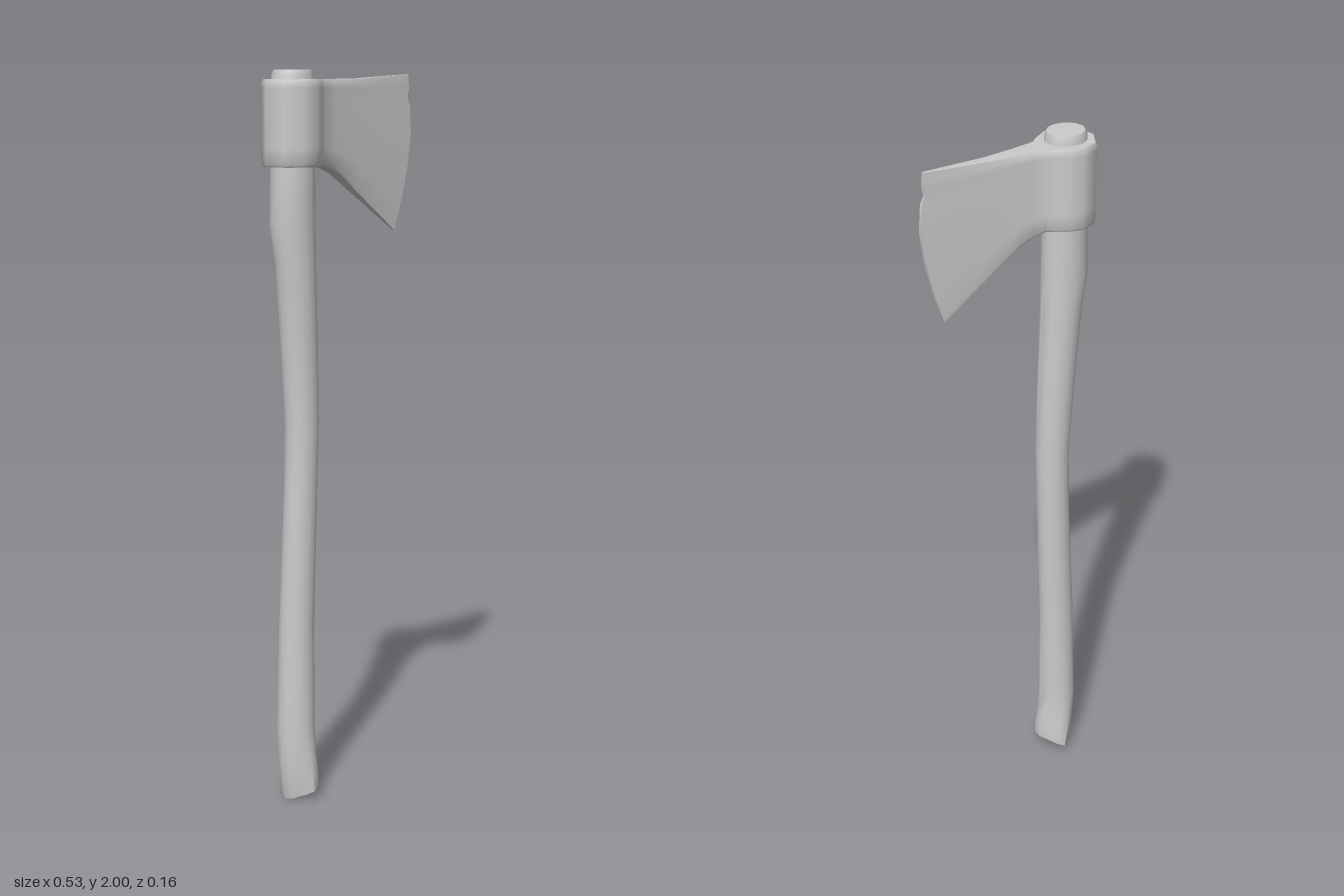
import * as THREE from 'three';
import { mergeVertices, toCreasedNormals } from 'three/addons/utils/BufferGeometryUtils.js';

// Skins closed loops stacked from top to bottom. Each loop starts at the back (-x),
// runs along +z to the front (+x) and returns along -z, so caps pair i with n - i.
function skin(loops, crease) {
  const n = loops[0].length;
  const index = [];
  for (let r = 0; r < loops.length - 1; r++) {
    for (let i = 0; i < n; i++) {
      const j = (i + 1) % n;
      const a = r * n + i, b = r * n + j, c = a + n, d = b + n;
      index.push(a, c, b, b, c, d);
    }
  }
  const cap = (base, up) => {
    const tri = (a, b, c) => index.push(base + a, base + (up ? b : c), base + (up ? c : b));
    tri(0, 1, n - 1);
    for (let i = 1; i < (n - 1) / 2; i++) {
      tri(i, i + 1, n - i - 1);
      tri(i, n - i - 1, n - i);
    }
  };
  cap(0, true);
  cap((loops.length - 1) * n, false);
  const geo = new THREE.BufferGeometry();
  geo.setAttribute('position', new THREE.Float32BufferAttribute(loops.flat(2), 3));
  geo.setIndex(index);
  return toCreasedNormals(mergeVertices(geo), crease);
}

// Piecewise linear lookup in [[key, value], ...]
function lookup(table, t) {
  for (let i = 1; i < table.length; i++) {
    const [a, va] = table[i - 1], [b, vb] = table[i];
    if (t <= b) return va + ((vb - va) * (t - a)) / (b - a);
  }
  return table[table.length - 1][1];
}

// Handle: oval sections [y, xBack, xFront, halfDepth, zCentre, slope, lobes]
function handleGeometry() {
  const sections = [
    [2.0, -0.235, -0.13, 0.047, 0, 0, 0],
    [1.985, -0.241, -0.125, 0.052, 0, 0, 0],
    [1.75, -0.246, -0.12, 0.056, 0, 0, 0],
    [1.6, -0.253, -0.117, 0.055, 0, 0, 0],
    [1.5, -0.235, -0.117, 0.053, 0, 0, 0],
    [1.28, -0.217, -0.109, 0.048, 0, 0, 0],
    [1.06, -0.2, -0.103, 0.045, -0.002, 0, 0],
    [0.9, -0.204, -0.108, 0.044, -0.002, 0, 0],
    [0.5, -0.226, -0.122, 0.045, -0.002, 0, 0],
    [0.2, -0.236, -0.127, 0.052, 0, 0, 0],
    [0.1, -0.235, -0.12, 0.06, 0.002, 0.25, 0.05],
    [0.03, -0.229, -0.11, 0.066, 0.002, 0.45, 0.09],
    [0.0, -0.222, -0.112, 0.065, 0.002, 0.5, 0.09],
    [0.02, -0.207, -0.127, 0.049, 0.002, 0.45, 0.06], // hollow in the end grain
  ];
  const n = 17;
  const loops = sections.map(([y, x0, x1, hz, zc, slope, lobes]) =>
    Array.from({ length: n }, (_, i) => {
      const a = (i / n) * Math.PI * 2;
      const k = 1 - lobes * (1 - Math.cos(4 * a));
      const x = (x0 + x1) / 2 - (k * Math.cos(a) * (x1 - x0)) / 2;
      return [x, y + Math.max(0, x - x0) * slope, zc + k * Math.sin(a) * hz];
    }));
  return skin(loops, 0.8);
}

// Head: faceted eye around the handle flowing into a flared, tapering blade
function headGeometry() {
  // eye corners [x, z] on the +z and the -z side
  const eyeNear = [[-0.255, 0.042], [-0.215, 0.077], [-0.165, 0.077], [-0.13, 0.057]];
  const eyeFar = [[-0.235, -0.065], [-0.185, -0.08], [-0.15, -0.069], [-0.122, -0.053]];
  // cutting edge [v, x], worn near the top
  const edge = [[0, 0.25], [0.1, 0.253], [0.145, 0.247], [0.2, 0.257], [0.37, 0.262],
    [0.58, 0.25], [0.79, 0.228], [1, 0.197]];
  // blade outlines [u, y] and half thickness [u, z]
  const top = [[0, 1.975], [0.4, 1.975], [1, 1.987]];
  const bottom = [[0, 1.748], [0.12, 1.739], [0.24, 1.723], [0.46, 1.675], [1, 1.56]];
  const half = [[0, 0.037], [0.15, 0.03], [0.3, 0.024], [0.6, 0.015], [1, 0.005]];
  const columns = [0, 0.12, 0.24, 0.46, 0.72, 1];
  const rows = [0, 0.04, 0.1, 0.145, 0.2, 0.37, 0.58, 0.79, 0.97, 1];

  const loops = rows.map((v) => {
    const rim = v === 0 || v === 1;
    const s = rim ? 0.95 : 1;
    const eye = ([x, z]) => [-0.18 + (x + 0.18) * s, 1.975 - 0.227 * v, z * s];
    const blade = (side) => (u) => [
      THREE.MathUtils.lerp(-0.1, lookup(edge, v), u),
      THREE.MathUtils.lerp(lookup(top, u), lookup(bottom, u), v),
      side * lookup(half, u) * (rim ? 0.85 : 1),
    ];
    return [
      eye([-0.265, -0.015]),
      ...eyeNear.map(eye), ...columns.map(blade(1)),
      ...[...eyeFar.map(eye), ...columns.map(blade(-1))].reverse(),
    ];
  });
  return skin(loops, 0.9);
}

export function createModel() {
  const group = new THREE.Group();
  group.name = 'axe';
  const material = new THREE.MeshStandardMaterial({ color: 0xcccccc });
  const add = (name, geometry) => {
    const mesh = new THREE.Mesh(geometry, material);
    mesh.name = name;
    group.add(mesh);
  };
  add('handle', handleGeometry());
  add('axeHead', headGeometry());
  return group;
}
